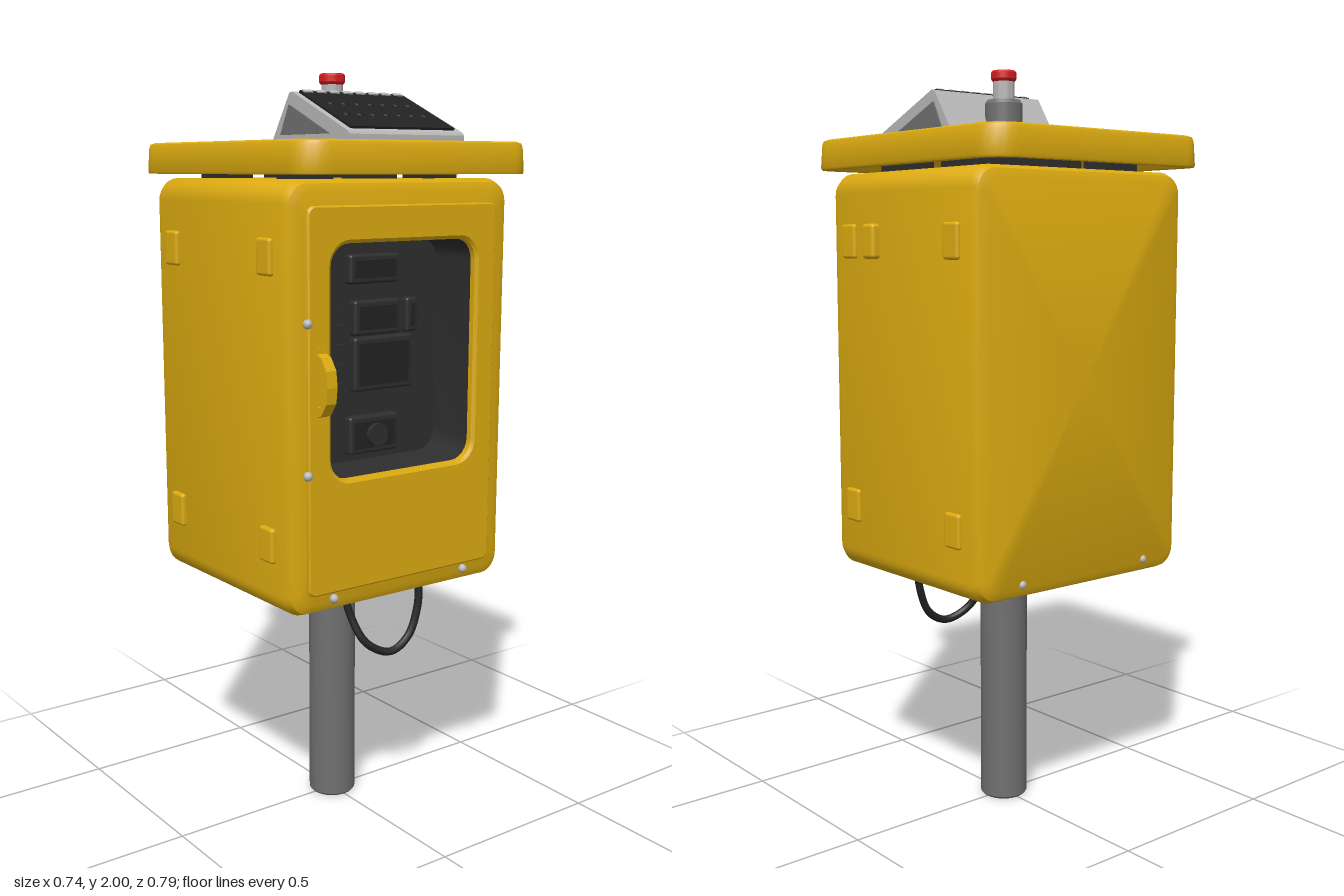
import * as THREE from 'three';
import { toCreasedNormals } from 'three/addons/utils/BufferGeometryUtils.js';
import { RoundedBoxGeometry } from 'three/addons/geometries/RoundedBoxGeometry.js';

const mat = (name, color, side = THREE.FrontSide) => {
  const m = new THREE.MeshStandardMaterial({ color, side });
  m.name = name;
  return m;
};

// Points of a rounded rectangle, counter-clockwise
function ring({ w, h, r, cx = 0, cy = 0 }, n = 6) {
  const pts = [];
  [[1, 1], [-1, 1], [-1, -1], [1, -1]].forEach(([sx, sy], q) => {
    for (let i = 0; i <= n; i++) {
      const a = (q + i / n) * Math.PI / 2;
      pts.push([cx + sx * (w / 2 - r) + r * Math.cos(a), cy + sy * (h / 2 - r) + r * Math.sin(a)]);
    }
  });
  return pts;
}

// Skin joining rounded rectangles placed along z
function loft(sections) {
  const pos = [], idx = [];
  sections.forEach(s => ring(s).forEach(([x, y]) => pos.push(x, y, s.z)));
  const n = pos.length / 3 / sections.length;
  for (let k = 0; k < sections.length - 1; k++) {
    for (let i = 0; i < n; i++) {
      const j = (i + 1) % n, a = k * n + i, b = k * n + j;
      idx.push(a, b, b + n, a, b + n, a + n);
    }
  }
  const g = new THREE.BufferGeometry();
  g.setAttribute('position', new THREE.Float32BufferAttribute(pos, 3));
  g.setIndex(idx);
  return toCreasedNormals(g, 0.6);
}

// Side profile given as [z, y], extruded across x
function sideExtrude(profile, width, hole) {
  const shape = new THREE.Shape(profile.map(p => new THREE.Vector2(...p)));
  if (hole) shape.holes.push(new THREE.Path(hole.map(p => new THREE.Vector2(...p))));
  return new THREE.ExtrudeGeometry(shape, { depth: width, bevelEnabled: false })
    .translate(0, 0, -width / 2).rotateY(-Math.PI / 2);
}

export function createModel() {
  const root = new THREE.Group();
  const yellow = mat('yellow paint', 0xdcab10);
  const dark = mat('dark plastic', 0x2e2e2e);
  const black = mat('black', 0x222222);
  const steel = mat('grey steel', 0x707070);
  const light = mat('light grey', 0xb8b8b8);
  const red = mat('red', 0xd81e22);
  const add = (name, geo, m, x = 0, y = 0, z = 0, parent = root) => {
    const mesh = new THREE.Mesh(geo, m);
    mesh.name = name;
    mesh.position.set(x, y, z);
    parent.add(mesh);
    return mesh;
  };
  const box = (name, w, h, d, m, x, y, z, r = 0) =>
    add(name, r ? new RoundedBoxGeometry(w, h, d, 2, r) : new THREE.BoxGeometry(w, h, d), m, x, y, z);

  // Cabinet shell, open behind the window
  const b = { cx: -0.005, cy: 1.2 };
  const win = { w: 0.46, h: 0.58, r: 0.055, cx: -0.005, cy: 1.295 };
  const body = (z, inset) => ({ ...b, z, w: 0.7 - 2 * inset, h: 1.07 - 2 * inset, r: 0.055 - inset * 0.6 });
  add('cabinet', loft([
    { ...b, z: -0.32, w: 0, h: 0, r: 0 }, body(-0.32, 0.03), body(-0.311, 0.009), body(-0.29, 0),
    body(0.28, 0), body(0.303, 0.009), body(0.312, 0.03), { ...win, z: 0.312 },
  ]), yellow);

  // Door slab with bevelled window edge
  const door = { cx: -0.007, cy: 1.197 };
  add('door', loft([
    { ...door, z: 0.305, w: 0.595, h: 0.955, r: 0.02 }, { ...door, z: 0.318, w: 0.595, h: 0.955, r: 0.02 },
    { ...door, z: 0.322, w: 0.587, h: 0.947, r: 0.018 },
    { ...win, z: 0.322, w: 0.478, h: 0.598, r: 0.064 }, { ...win, z: 0.315 }, { ...win, z: 0.3 },
  ]), yellow);

  // Dark recess and its control panel
  add('windowRecess', loft([
    { ...win, z: 0.3 }, { ...win, z: 0.17, w: 0.45, h: 0.57 }, { ...win, z: 0.17, w: 0, h: 0, r: 0 },
  ]), dark);
  [ // x, y, width, height
    [-0.005, 1.51, 0.16, 0.075], [0.005, 1.385, 0.15, 0.09], [0.12, 1.385, 0.04, 0.09],
    [0.025, 1.265, 0.19, 0.14], [-0.005, 1.08, 0.16, 0.1],
  ].forEach(([x, y, w, h]) => {
    box('controlModule', w, h, 0.03, dark, x, y, 0.18, 0.008);
    box('controlFace', w - 0.03, h - 0.03, 0.008, black, x, y, 0.196);
  });
  add('dial', new THREE.CylinderGeometry(0.03, 0.03, 0.02, 20).rotateX(Math.PI / 2), dark, -0.005, 1.08, 0.205);
  for (let i = 0; i < 5; i++) {
    for (const x of [-0.145, -0.105]) box('button', 0.022, 0.022, 0.012, dark, x, 1.41 - i * 0.05, 0.175);
  }

  // Door handle
  add('handle', sideExtrude(
    [[0.318, 1.17], [0.345, 1.18], [0.366, 1.21], [0.371, 1.25], [0.366, 1.29], [0.345, 1.32], [0.318, 1.33]], 0.03,
    [[0.322, 1.2], [0.322, 1.3], [0.342, 1.3], [0.352, 1.25], [0.342, 1.2]]), yellow, -0.27);
  box('handleBase', 0.036, 0.18, 0.008, yellow, -0.27, 1.25, 0.322);

  // Screws on front and back
  const ball = new THREE.SphereGeometry(0.012, 12, 8);
  for (const x of [-0.225, 0.205]) {
    add('frontScrew', ball, light, x, 0.703, 0.316);
    add('backScrew', ball, light, x, 0.703, -0.316);
  }
  for (const y of [1.4, 1.03]) add('doorScrew', ball, light, -0.306, y, 0.32);

  // Raised plates on both sides
  for (const y of [1.555, 0.845]) {
    for (const z of [0.22, -0.22]) {
      box('rightPlate', 0.02, 0.09, 0.06, yellow, -0.358, y, z, 0.008);
      box('leftPlate', 0.02, 0.09, 0.06, yellow, 0.345, y, z, 0.008);
    }
  }
  box('sideLock', 0.035, 0.09, 0.052, yellow, 0.35, 1.555, 0.112, 0.01);

  // Hollow lid on a narrow neck
  const lid = (z, w, h, r) => ({ cx: -0.003, z, w, h, r });
  add('lid', loft([
    lid(1.795, 0, 0, 0), lid(1.795, 0.6, 0.67, 0.04), lid(1.746, 0.65, 0.73, 0.055), lid(1.746, 0.71, 0.786, 0.07),
    lid(1.752, 0.716, 0.79, 0.073), lid(1.812, 0.708, 0.782, 0.07), lid(1.822, 0.7, 0.774, 0.066),
    lid(1.826, 0.68, 0.754, 0.06), lid(1.828, 0, 0, 0),
  ]).rotateX(-Math.PI / 2), yellow);
  for (const x of [-0.2, 0, 0.2]) {
    for (const z of [-0.2, 0.16]) box('lidSpacer', 0.1, 0.08, 0.1, dark, x, 1.765, z);
  }

  // Wedge housing of the solar panel
  add('panelHousing', sideExtrude(
    [[-0.012, 1.826], [0.315, 1.826], [0.315, 1.84], [0.31, 1.847], [0.078, 1.946], [0.066, 1.944]], 0.36), light);
  for (const x of [-0.181, 0.181]) {
    add('housingSidePanel', sideExtrude([[0.03, 1.842], [0.24, 1.842], [0.068, 1.915]], 0.006), steel, x);
  }
  const slope = new THREE.Group();
  slope.name = 'solarPanel';
  slope.position.set(0, 1.8965, 0.194);
  slope.rotation.x = Math.atan2(0.099, 0.232);
  root.add(slope);
  add('panelFace', new THREE.BoxGeometry(0.325, 0.008, 0.232), black, 0, 0.002, -0.005, slope);
  for (let i = 0; i < 8; i++) {
    add('panelTab', new THREE.BoxGeometry(0.026, 0.008, 0.014), light, -0.143 + i * 0.041, 0.005, -0.113, slope);
  }
  for (let i = 0; i < 7; i++) {
    for (const z of [-0.037, 0.033]) {
      add('panelCell', new THREE.CylinderGeometry(0.008, 0.01, 0.004, 10), black, -0.123 + i * 0.041, 0.007, z, slope);
    }
  }

  // Beacon: socket, stem and red cap
  const turned = (name, pts, m) =>
    add(name, toCreasedNormals(new THREE.LatheGeometry(pts.map(p => new THREE.Vector2(...p)), 28), 0.6), m);
  turned('beaconSocket', [[0.05, 1.82], [0.05, 1.915], [0.043, 1.925], [0, 1.925]], steel);
  turned('beaconStem', [[0.028, 1.92], [0.028, 1.975], [0, 1.975]], light);
  turned('beaconCap', [[0, 1.972], [0.029, 1.972], [0.034, 1.979], [0.034, 1.995], [0.03, 2], [0, 2]], red);

  // Mounting plate and hollow post
  box('mountPlate', 0.32, 0.025, 0.43, black, 0, 0.655, 0);
  box('mountStep', 0.26, 0.012, 0.36, dark, 0, 0.638, 0);
  box('mountFlange', 0.18, 0.03, 0.18, black, 0, 0.632, 0);
  turned('post', [[0.05, 0.1], [0.05, 0], [0.06, 0], [0.065, 0.006], [0.065, 0.63]], steel);
  add('postInside', new THREE.CircleGeometry(0.051, 28).rotateX(Math.PI / 2), steel, 0, 0.1, 0);

  // Drooping cable
  const path = new THREE.CatmullRomCurve3([
    [-0.06, 0.64, 0.14], [-0.05, 0.58, 0.15], [-0.02, 0.5, 0.185], [0.045, 0.468, 0.207],
    [0.105, 0.5, 0.21], [0.138, 0.58, 0.21], [0.146, 0.66, 0.205],
  ].map(p => new THREE.Vector3(...p)));
  add('cable', new THREE.TubeGeometry(path, 40, 0.011, 10), black);
  return root;
}
